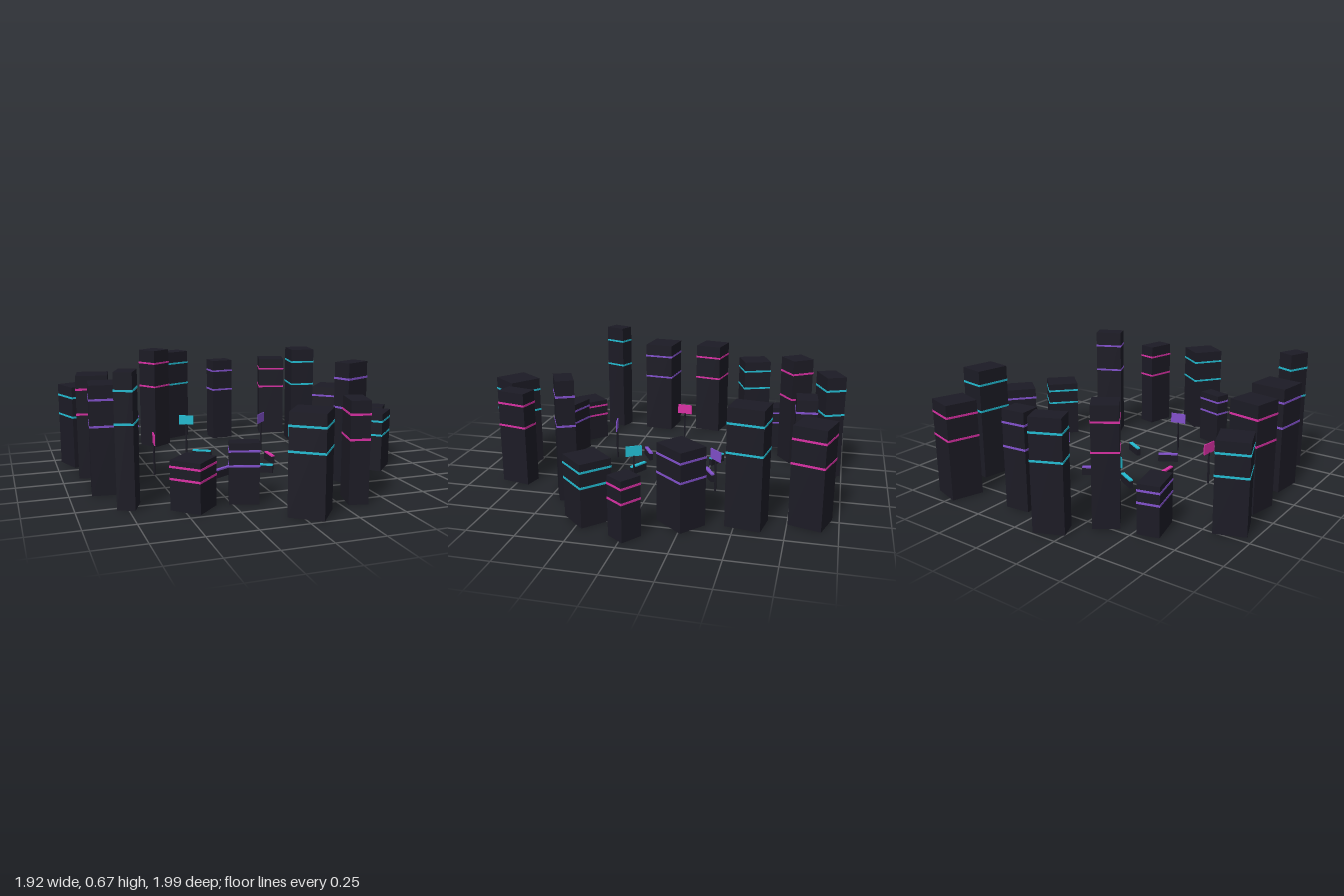
import * as THREE from 'three';

const material = (color) => new THREE.MeshStandardMaterial({ color });
const dark = material(0x1c1b25);
const pink = material(0xd92fa4);
const cyan = material(0x22bcd2);
const purple = material(0x8250cc);

function box(name, w, h, d, y, mat) {
  const mesh = new THREE.Mesh(new THREE.BoxGeometry(w, h, d), mat);
  mesh.name = name;
  mesh.position.y = y;
  return mesh;
}

function place(name, x, z, angle, parts) {
  const group = new THREE.Group();
  group.name = name;
  group.position.set(x, 0, z);
  group.rotation.y = angle;
  group.add(...parts);
  return group;
}

// Towers: x, z, width, depth, height, turn, band colour
const towers = [
  [-0.16, -0.91, 0.16, 0.11, 0.58, 0.41, cyan],
  [-0.335, -0.71, 0.135, 0.13, 0.62, 0.61, pink],
  [-0.555, -0.62, 0.115, 0.185, 0.26, 0.235, purple],
  [-0.857, -0.405, 0.165, 0.17, 0.47, 0.36, cyan],
  [-0.81, -0.13, 0.17, 0.16, 0.57, -0.19, pink],
  [-0.78, 0.195, 0.195, 0.175, 0.57, -0.11, purple],
  [-0.74, 0.49, 0.09, 0.125, 0.67, -0.38, cyan],
  [-0.445, 0.61, 0.165, 0.165, 0.25, -0.77, pink],
  [-0.185, 0.605, 0.15, 0.085, 0.31, -0.29, purple],
  [0.055, 0.87, 0.178, 0.18, 0.505, -0.64, cyan],
  [0.35, 0.75, 0.1, 0.165, 0.52, -0.22, pink],
  [0.485, 0.42, 0.155, 0.095, 0.65, 0.44, purple],
  [0.73, 0.22, 0.172, 0.18, 0.33, -0.76, cyan],
  [0.875, -0.01, 0.115, 0.108, 0.31, -0.63, pink],
  [0.677, -0.24, 0.155, 0.19, 0.41, -0.7, purple],
  [0.61, -0.555, 0.145, 0.18, 0.61, -0.16, cyan],
  [0.525, -0.86, 0.165, 0.17, 0.515, -0.3, pink],
  [0.13, -0.795, 0.135, 0.11, 0.525, 0.09, purple],
];

// Sign boards: x, z, turn, panel colour
const signs = [
  [-0.2, -0.435, -0.44, cyan],
  [0.26, -0.34, 0.785, purple],
  [0.3, 0.105, -1.07, cyan],
  [-0.1, 0.32, 0.2, purple],
  [-0.5, -0.01, 1.46, pink],
];

export function createModel() {
  const model = new THREE.Group();
  model.name = 'cityRing';

  for (const [x, z, w, d, h, turn, mat] of towers) {
    model.add(place('tower', x, z, turn, [
      box('towerBody', w, h, d, h / 2, dark),
      box('upperLightBand', w + 0.004, 0.011, d + 0.004, h * 0.87, mat),
      box('lowerLightBand', w + 0.004, 0.011, d + 0.004, h * 0.63, mat),
    ]));
  }

  // Six low benches round the plaza
  for (let i = 0; i < 6; i++) {
    const a = (i * Math.PI) / 3;
    model.add(place('bench', -0.026 + 0.24 * Math.cos(a), -0.07 + 0.24 * Math.sin(a), a, [
      box('benchBody', 0.022, 0.04, 0.115, 0.02, dark),
      box('benchLight', 0.02, 0.008, 0.112, 0.044, [pink, cyan, purple][i % 3]),
    ]));
  }

  for (const [x, z, turn, mat] of signs) {
    const pole = new THREE.Mesh(new THREE.CylinderGeometry(0.005, 0.006, 0.18, 8), dark);
    pole.name = 'signPole';
    pole.position.y = 0.09;
    model.add(place('sign', x, z, turn, [pole, box('signPanel', 0.09, 0.058, 0.006, 0.206, mat)]));
  }

  return model;
}
